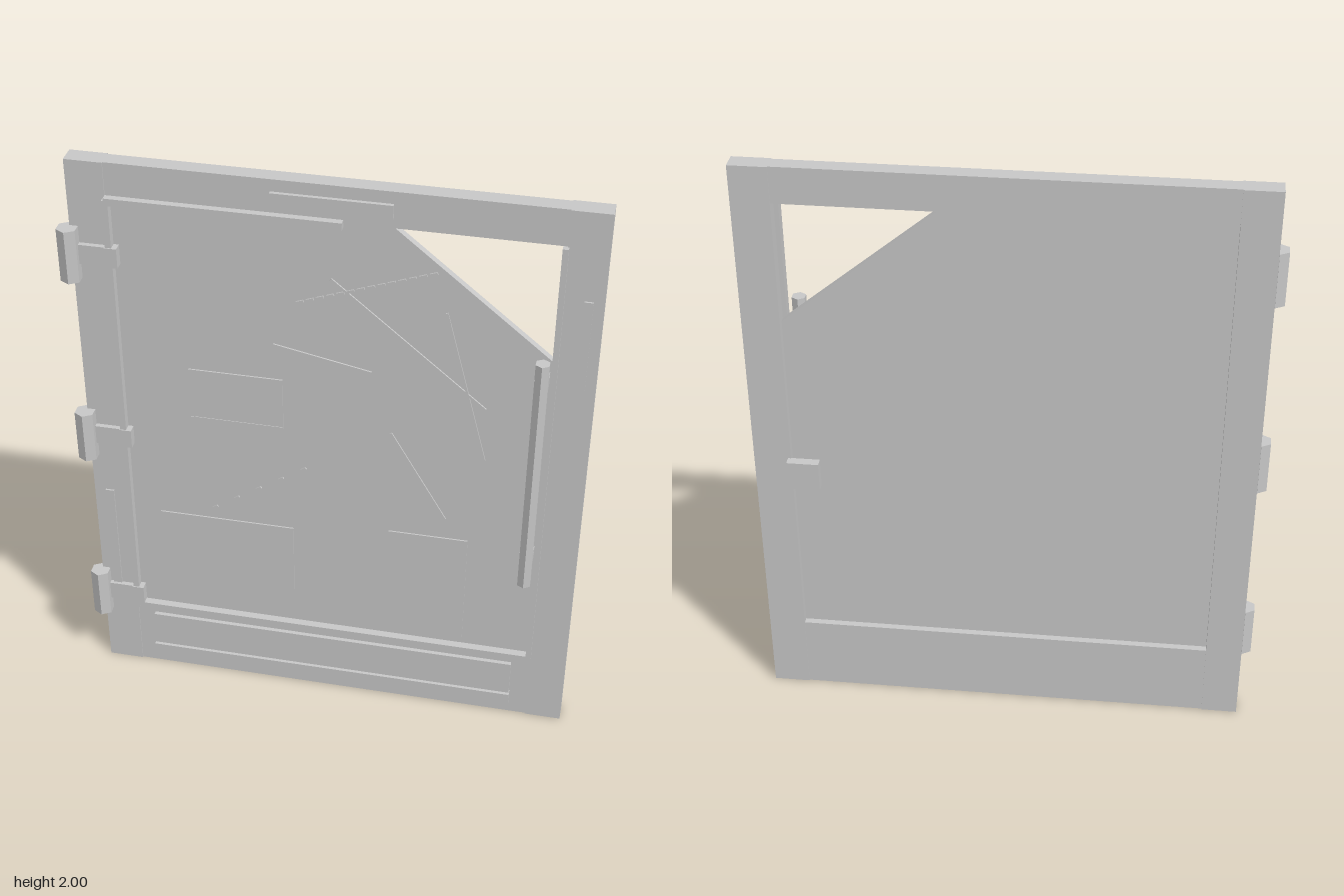
import * as THREE from 'three';

export function createModel() {
  const door = new THREE.Group();
  door.name = 'door';
  const metal = new THREE.MeshStandardMaterial({ color: 0xc7c7c7 });
  metal.name = 'greyMetal';

  const add = (name, geometry) => {
    const mesh = new THREE.Mesh(geometry, metal);
    mesh.name = name;
    door.add(mesh);
    return mesh;
  };
  // Box given by its limits on each axis
  const box = (name, x0, x1, y0, y1, z0, z1) => {
    const mesh = add(name, new THREE.BoxGeometry(x1 - x0, y1 - y0, z1 - z0));
    mesh.position.set((x0 + x1) / 2, (y0 + y1) / 2, (z0 + z1) / 2);
  };
  // Upright six-sided bar with corners toward front and back
  const hexBar = (name, x, y0, y1, z, r) => {
    const geometry = new THREE.CylinderGeometry(r, r, y1 - y0, 6).toNonIndexed();
    geometry.computeVertexNormals();
    add(name, geometry).position.set(x, (y0 + y1) / 2, z);
  };

  // Outer frame: the stiles stand slightly proud of the rails
  const back = -0.054, face = 0.008, inset = 0.004;
  box('leftStile', -0.8, -0.68, 0, 2, back, face);
  box('rightStile', 0.71, 0.832, 0, 2, back, face);
  box('topRail', -0.68, 0.71, 1.88, 2, back + inset, face - inset);
  box('bottomRail', -0.68, 0.71, 0, 0.265, back + inset, face - inset);

  // Recessed panel with its broken-off corner
  const panelFace = -0.003;
  const outline = [[-0.68, 0.265], [0.71, 0.265], [0.71, 1.463], [0.655, 1.508], [0.2, 1.88], [-0.68, 1.88]];
  const panelShape = new THREE.Shape(outline.map(([x, y]) => new THREE.Vector2(x, y)));
  const panel = add('panel', new THREE.ExtrudeGeometry(panelShape, { depth: 0.025, bevelEnabled: false }));
  panel.position.z = panelFace - 0.025;

  // Raised trim around the opening
  box('leftTrim', -0.687, -0.667, 0.265, 1.88, -0.01, 0.024);
  box('rightTrim', 0.696, 0.714, 0.27, 1.88, -0.01, 0.024);
  box('bottomTrim', -0.68, 0.71, 0.262, 0.283, -0.01, 0.023);
  box('topTrim', -0.68, 0.05, 1.865, 1.89, -0.01, 0.026);

  // Kick plate and its ledge
  box('kickPlate', -0.62, 0.648, 0.05, 0.23, 0, 0.018);
  box('kickLedge', -0.622, 0.65, 0.082, 0.098, 0, 0.029);
  box('kickLip', -0.622, 0.65, 0.045, 0.082, 0, 0.022);

  // Small plates on the frame
  box('topPlate', -0.17, 0.2, 1.915, 1.96, 0, 0.016);
  box('rightPlate', 0.772, 0.8, 1.385, 1.705, 0, 0.014);
  box('leftPlate', -0.762, -0.732, 0.35, 0.763, 0, 0.014);

  // Hinges
  for (const y of [1.685, 1.0, 0.32]) {
    hexBar('hingeKnuckle', -0.803, y - 0.091, y + 0.091, 0.023, 0.035);
    box('hingeLeaf', -0.8, -0.68, y - 0.034, y + 0.034, 0, 0.024);
    box('hingeTab', -0.69, -0.65, y - 0.034, y + 0.034, -0.01, 0.028);
  }

  // Pull handle
  hexBar('handleBar', 0.671, 0.64, 1.506, 0.061, 0.024);
  for (const y of [0.73, 1.412]) box('handleMount', 0.648, 0.691, y - 0.022, y + 0.022, -0.01, 0.055);

  // Latch on the back
  box('latch', 0.615, 0.72, 0.86, 0.962, -0.083, -0.052);

  // Thin patches on the panel
  const patches = [[-0.45, -0.143, 1.1, 1.29], [-0.574, -0.114, 0.42, 0.692], [0.208, 0.472, 0.292, 0.736]];
  for (const [x0, x1, y0, y1] of patches) box('patch', x0, x1, y0, y1, panelFace - 0.002, panelFace + 0.005);
  box('patchEdge', -0.45, -0.143, 1.1, 1.108, panelFace, panelFace + 0.007);

  // Scratches on the panel: two end points, number of dashes and dash length
  const scratches = [
    [0.012, 1.68, 0.502, 1.27, 1, 0.64], [-0.173, 1.42, 0.142, 1.357, 1, 0.32],
    [0.369, 1.605, 0.508, 1.075, 1, 0.55], [0.208, 1.134, 0.392, 0.817, 1, 0.37],
    [-0.1, 1.582, 0.34, 1.742, 14, 0.024], [-0.42, 0.715, -0.04, 0.972, 5, 0.02],
  ];
  for (const [x0, y0, x1, y1, count, dash] of scratches) {
    for (let i = 0; i < count; i++) {
      const t = (i + 0.5) / count;
      const mark = add('scratch', new THREE.BoxGeometry(dash, 0.008, 0.006));
      mark.position.set(x0 + (x1 - x0) * t, y0 + (y1 - y0) * t, panelFace + 0.002);
      mark.rotation.z = Math.atan2(y1 - y0, x1 - x0);
    }
  }
  return door;
}
